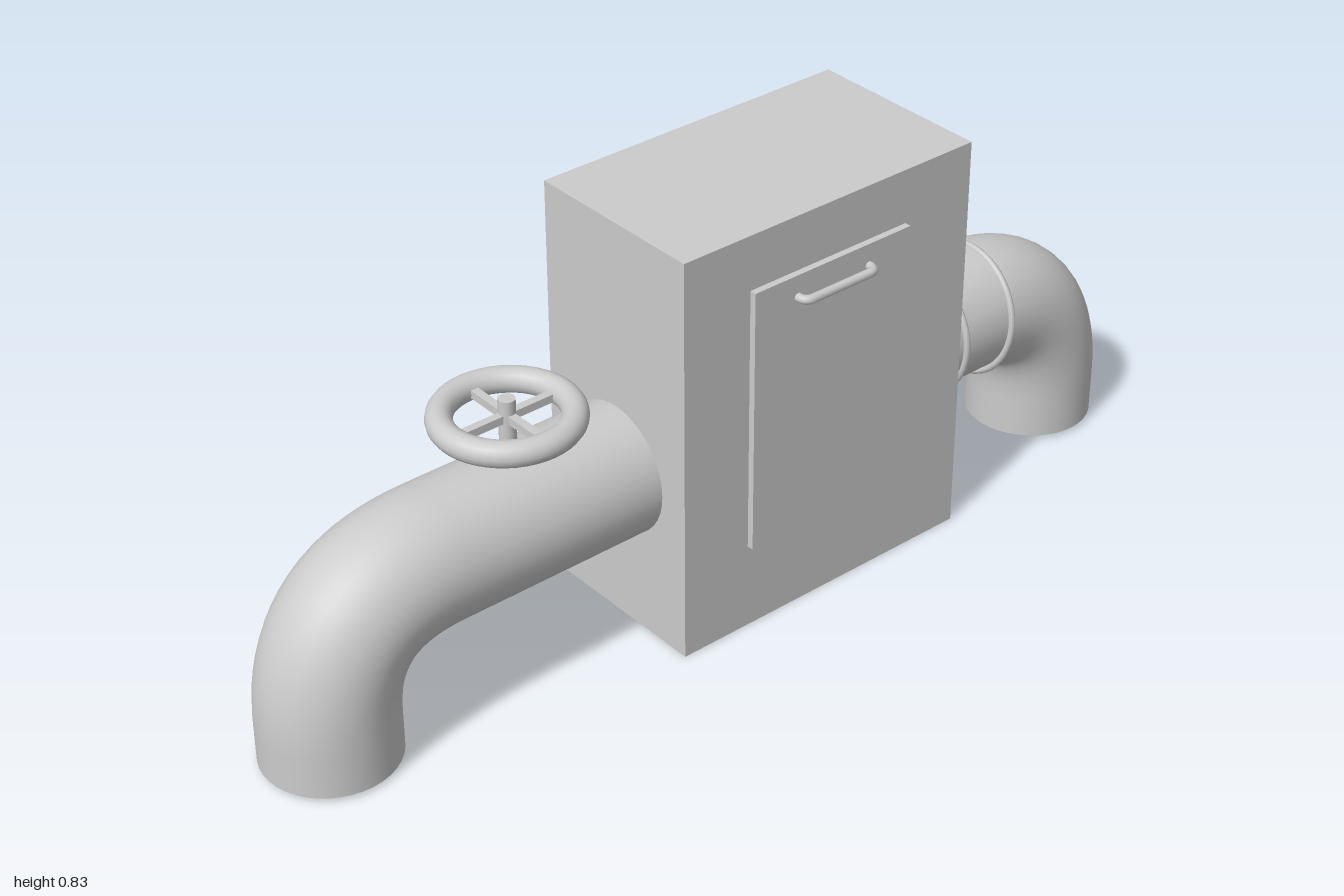
import * as THREE from 'three';

const material = new THREE.MeshStandardMaterial({ color: 0xcccccc, side: THREE.DoubleSide });
const V = (x, y, z) => new THREE.Vector3(x, y, z);
const CX = 0.022;      // centre line of cabinet and main pipe
const WALL = -0.17;    // outer face of the instrument side

function add(parent, name, geometry, x = 0, y = 0, z = 0) {
  const mesh = new THREE.Mesh(geometry, material);
  mesh.name = name;
  mesh.position.set(x, y, z);
  parent.add(mesh);
  return mesh;
}

// Box given by its limits on each axis
function block(parent, name, [x0, x1], [y0, y1], [z0, z1]) {
  return add(parent, name, new THREE.BoxGeometry(x1 - x0, y1 - y0, z1 - z0),
    (x0 + x1) / 2, (y0 + y1) / 2, (z0 + z1) / 2);
}

// Round pipe through corner points, with rounded bends
function pipe(parent, name, points, radius, bend, segments, sides = 16) {
  const path = new THREE.CurvePath();
  let from = points[0];
  for (let i = 1; i < points.length - 1; i++) {
    const p = points[i];
    const a = p.clone().add(points[i - 1].clone().sub(p).setLength(bend));
    const b = p.clone().add(points[i + 1].clone().sub(p).setLength(bend));
    path.add(new THREE.LineCurve3(from, a));
    path.add(new THREE.QuadraticBezierCurve3(a, p, b));
    from = b;
  }
  path.add(new THREE.LineCurve3(from, points[points.length - 1]));
  return add(parent, name, new THREE.TubeGeometry(path, segments, radius, sides));
}

// Rectangular rim with a recessed plate, on the instrument side
function framedPanel(parent, name, [y0, y1], [z0, z1], out, rim) {
  const group = new THREE.Group();
  group.name = name;
  const xs = [WALL - out, WALL + 0.01];
  block(group, 'frameTop', xs, [y1 - rim, y1], [z0, z1]);
  block(group, 'frameBottom', xs, [y0, y0 + rim], [z0, z1]);
  block(group, 'frameBack', xs, [y0 + rim, y1 - rim], [z0, z0 + rim]);
  block(group, 'frameFront', xs, [y0 + rim, y1 - rim], [z1 - rim, z1]);
  block(group, 'plate', [WALL - out * 0.4, WALL + 0.005], [y0 + rim, y1 - rim], [z0 + rim, z1 - rim]);
  parent.add(group);
  return group;
}

// Round gauge with a raised rim, axis along x
function gauge(parent, radius, y, z) {
  const profile = [[0, 0.005], [radius - 0.014, 0.005], [radius - 0.014, 0.012],
    [radius, 0.012], [radius, 0]].map(([r, h]) => new THREE.Vector2(r, h));
  // each straight run gets its own strip so the edges stay sharp
  const group = new THREE.Group();
  group.name = 'gauge';
  for (let i = 0; i < profile.length - 1; i++)
    add(group, 'gaugeRing', new THREE.LatheGeometry([profile[i], profile[i + 1]], 32));
  group.rotation.z = Math.PI / 2;
  group.position.set(WALL, y, z);
  parent.add(group);
}

function buildCabinet(root) {
  // Cabinet shell, open underneath
  const shell = new THREE.BoxGeometry(0.385, 0.835, 0.68);
  shell.setIndex(Array.from(shell.index.array).filter((_, i) => i < 18 || i >= 24));
  shell.clearGroups();
  add(root, 'cabinet', shell, CX, 0.4175, -0.12);

  // Door and its handle
  block(root, 'door', [0.205, 0.228], [0.18, 0.725], [-0.3, 0.07]);
  pipe(root, 'doorHandle', [V(0.22, 0.68, -0.2), V(0.248, 0.68, -0.2),
    V(0.248, 0.68, -0.03), V(0.22, 0.68, -0.03)], 0.009, 0.018, 48, 10);
}

function buildMainPipe(root) {
  pipe(root, 'mainPipe', [V(CX, 0.008, 0.87), V(CX, 0.325, 0.87),
    V(CX, 0.325, -0.87), V(CX, 0.008, -0.87)], 0.13, 0.235, 110, 40);

  // Clamp rings on the rear run
  for (const [y, z, tilt] of [[0.325, -0.542, 0.02], [0.32, -0.664, 0.1]]) {
    const ring = add(root, 'clampRing', new THREE.TorusGeometry(0.133, 0.007, 8, 48), CX, y, z);
    ring.rotation.x = -tilt;
  }
}

function buildHandwheel(root) {
  const wheel = new THREE.Group();
  wheel.name = 'handwheel';
  wheel.position.set(CX, 0, 0.46);
  const cyl = (name, r, y0, y1) =>
    add(wheel, name, new THREE.CylinderGeometry(r, r, y1 - y0, 20), 0, (y0 + y1) / 2, 0);
  cyl('collar', 0.022, 0.43, 0.467);
  cyl('stem', 0.016, 0.46, 0.572);
  add(wheel, 'rim', new THREE.TorusGeometry(0.119, 0.025, 16, 48), 0, 0.536, 0).rotation.x = Math.PI / 2;
  block(wheel, 'spoke', [-0.11, 0.11], [0.528, 0.544], [-0.008, 0.008]);
  block(wheel, 'spoke', [-0.008, 0.008], [0.528, 0.544], [-0.11, 0.11]);
  root.add(wheel);
}

function buildInstruments(root) {
  framedPanel(root, 'display', [0.6, 0.7], [-0.35, -0.165], 0.01, 0.011);
  gauge(root, 0.073, 0.455, -0.285);
  gauge(root, 0.068, 0.36, -0.134);

  // Switch panel split in two
  const switches = framedPanel(root, 'switchPanel', [0.098, 0.245], [-0.025, 0.13], 0.012, 0.012);
  block(switches, 'divider', [WALL - 0.012, WALL], [0.11, 0.233], [0.046, 0.058]);

  // Half-round dial
  const half = new THREE.Shape().absarc(0, 0, 0.06, 0, Math.PI);
  const rim = new THREE.Shape().absarc(0, 0, 0.06, 0, Math.PI);
  rim.holes.push(new THREE.Path().moveTo(0.046, 0.008).absarc(0, 0.008, 0.042, 0, Math.PI));
  const dialParts = [['dialRim', rim, 0.018], ['dialFace', half, 0.01]];
  for (const [name, shape, depth] of dialParts) {
    const geometry = new THREE.ExtrudeGeometry(shape, { depth, bevelEnabled: false, curveSegments: 24 });
    add(root, name, geometry, WALL, 0.645, -0.05).rotation.y = -Math.PI / 2;
  }

  // Lever on a drum between two flanges
  const z = 0.057;
  framedPanel(root, 'leverPlate', [0.36, 0.58], [-0.01, 0.125], 0.02, 0.014);
  const disc = (name, r, width, dz) => {
    const geometry = new THREE.CylinderGeometry(r, r, width, 36, 1, false, 0, Math.PI);
    geometry.rotateY(Math.PI).rotateX(Math.PI / 2);
    add(root, name, geometry, -0.183, 0.47, z + dz);
  };
  disc('drum', 0.06, 0.07, 0);
  disc('drumFlange', 0.077, 0.022, -0.027);
  disc('drumFlange', 0.077, 0.022, 0.027);
  add(root, 'leverRod', new THREE.CylinderGeometry(0.006, 0.006, 0.14, 12), -0.225, 0.57, z);
  add(root, 'leverGrip', new THREE.CylinderGeometry(0.01, 0.01, 0.056, 16), -0.225, 0.656, z);

  // Service pipes, both ends let into the wall
  const inside = WALL + 0.01;
  pipe(root, 'servicePipe', [V(inside, 0.375, -0.38), V(-0.209, 0.375, -0.38),
    V(-0.209, 0.064, -0.38), V(inside, 0.064, -0.38)], 0.019, 0.03, 80);
  pipe(root, 'servicePipe', [V(inside, 0.302, -0.285), V(-0.203, 0.302, -0.285),
    V(-0.203, 0.064, -0.285), V(-0.203, 0.064, -0.11), V(inside, 0.064, -0.11)], 0.019, 0.03, 90);
}

export function createModel() {
  const root = new THREE.Group();
  root.name = 'pumpCabinet';
  buildCabinet(root);
  buildMainPipe(root);
  buildHandwheel(root);
  buildInstruments(root);
  return root;
}
